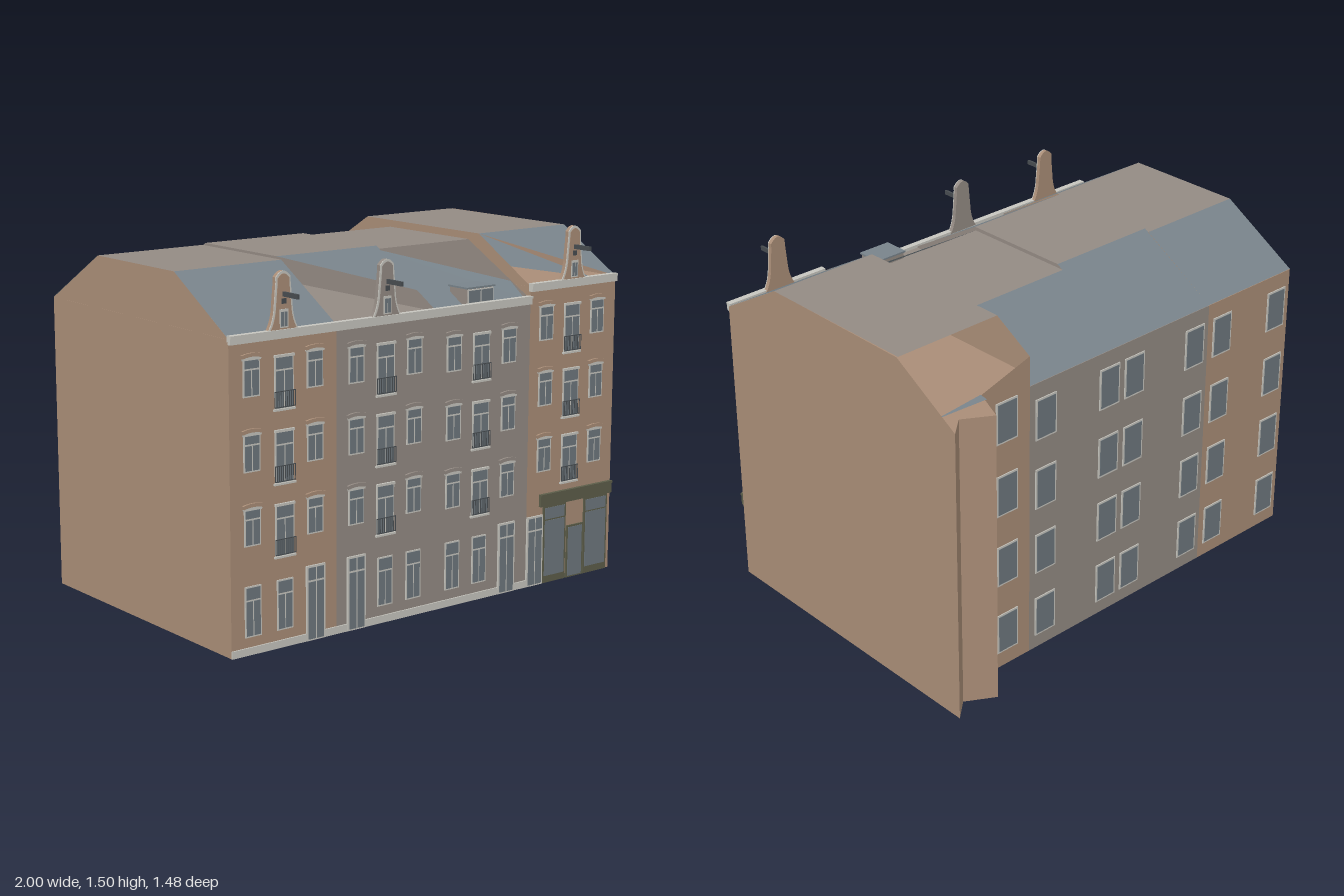
import * as THREE from 'three';

const mat = (name, color, side = THREE.FrontSide) => {
  const m = new THREE.MeshStandardMaterial({ color, side });
  m.name = name;
  return m;
};

export function createModel() {
  const D = THREE.DoubleSide;
  const brick = mat('tan brick', 0xa98d77, D), stone = mat('grey brick', 0x938a83, D);
  const slate = mat('slate', 0x78838a, D), trim = mat('pale trim', 0xc6c5be);
  const glass = mat('glass', 0x6d777d), green = mat('shop green', 0x5c5d49);
  const iron = mat('iron', 0x474c50);
  const root = new THREE.Group();
  const FRONT = 0.64, BACK = -0.6;

  const add = (name, geo, material, parent = root) => {
    const m = new THREE.Mesh(geo, material);
    m.name = name;
    parent.add(m);
    return m;
  };
  const group = (name) => {
    const g = new THREE.Group();
    g.name = name;
    root.add(g);
    return g;
  };
  // box given by its limits
  const block = (name, x0, x1, y0, y1, z0, z1, material, parent) => {
    const m = add(name, new THREE.BoxGeometry(x1 - x0, y1 - y0, z1 - z0), material, parent);
    m.position.set((x0 + x1) / 2, (y0 + y1) / 2, (z0 + z1) / 2);
    return m;
  };
  // vertical prism over a floor plan of [x, z] points
  const prism = (name, plan, h, material, parent) => {
    const s = new THREE.Shape(plan.map(([x, z]) => new THREE.Vector2(x, -z)));
    const geo = new THREE.ExtrudeGeometry(s, { depth: h, bevelEnabled: false }).rotateX(-Math.PI / 2);
    return add(name, geo, material, parent);
  };
  // flat convex polygon
  const face = (name, pts, material, parent) => {
    const pos = [];
    for (let i = 1; i < pts.length - 1; i++) pos.push(...pts[0], ...pts[i], ...pts[i + 1]);
    const geo = new THREE.BufferGeometry();
    geo.setAttribute('position', new THREE.Float32BufferAttribute(pos, 3));
    geo.computeVertexNormals();
    return add(name, geo, material, parent);
  };

  // ---- facade parts ----
  const pane = (g, x0, x1, y0, y1) => block('pane', x0, x1, y0, y1, FRONT, FRONT + 0.006, glass, g);

  const opening = (name, cx, w, y0, y1) => {
    const g = group(name), h = y1 - y0, b = 0.006, yt = y0 + h * 0.72;
    block('frame', cx - w / 2, cx + w / 2, y0, y1, FRONT, FRONT + 0.004, trim, g);
    pane(g, cx - w / 2 + b, cx - 0.003, y0 + b, yt - 0.003);
    pane(g, cx + 0.003, cx + w / 2 - b, y0 + b, yt - 0.003);
    pane(g, cx - w / 2 + b, cx + w / 2 - b, yt + 0.004, y1 - b);
    return g;
  };

  const arch = (g, cx, y, w, rise, t, depth, material) => {
    const s = new THREE.Shape();
    s.moveTo(-w / 2, 0);
    s.quadraticCurveTo(0, rise * 2, w / 2, 0);
    s.lineTo(w / 2 + 0.003, t);
    s.quadraticCurveTo(0, t + rise * 2, -w / 2 - 0.003, t);
    const m = add('arch', new THREE.ExtrudeGeometry(s, { depth, bevelEnabled: false, curveSegments: 6 }), material, g);
    m.position.set(cx, y, FRONT);
  };

  const archedWindow = (cx, y0, y1, wall) => {
    const g = opening('window', cx, 0.076, y0, y1 - 0.006);
    arch(g, cx, y1 - 0.012, 0.082, 0.006, 0.008, 0.007, trim);
    arch(g, cx, y1 - 0.004, 0.086, 0.006, 0.014, 0.009, wall);
  };

  const balconyDoor = (cx, y0, y1) => {
    const g = opening('balconyDoor', cx, 0.088, y0, y1);
    block('lintel', cx - 0.046, cx + 0.046, y1 - 0.01, y1, FRONT, FRONT + 0.009, trim, g);
    block('sill', cx - 0.05, cx + 0.05, y0 - 0.004, y0 + 0.004, FRONT, FRONT + 0.01, trim, g);
    for (const y of [y0 + 0.01, y0 + 0.07])
      block('rail', cx - 0.048, cx + 0.048, y - 0.0015, y + 0.0015, 0.648, 0.651, iron, g);
    for (let i = 0; i <= 10; i++) {
      const x = cx - 0.047 + i * 0.0094;
      block('baluster', x - 0.001, x + 0.001, y0 + 0.01, y0 + 0.07, 0.648, 0.651, iron, g);
    }
  };

  // ---- the four houses ----
  const houses = [
    { x: -1, wall: brick, eave: 1.22, ridge: 1.43, zf: 0.29, zb: -0.25, cols: [-0.9, -0.75, -0.605],
      tops: [1.145, 0.86, 0.575], ground: [-0.9, -0.75], door: -0.605, gable: -0.755 },
    { x: -0.5, wall: stone, eave: 1.22, ridge: 1.44, zf: 0.26, zb: -0.23, cols: [-0.405, -0.26, -0.115],
      tops: [1.135, 0.855, 0.575], ground: [-0.26, -0.115], door: -0.405, gable: -0.26 },
    { x: 0, wall: stone, eave: 1.22, ridge: 1.425, zf: 0.255, zb: -0.26, cols: [0.09, 0.235, 0.385],
      tops: [1.12, 0.84, 0.56], ground: [0.09, 0.235], door: 0.385 },
    { x: 0.5, wall: brick, eave: 1.27, ridge: 1.455, zf: 0.32, zb: -0.42, cols: [0.59, 0.735, 0.88],
      tops: [1.19, 0.915, 0.635], ground: [], door: 0.545, gable: 0.735 },
  ];

  houses.forEach((h, i) => {
    const last = i === 3, x0 = h.x, x1 = h.x + 0.5;
    const plan = last
      ? [[0.5, FRONT], [0.985, FRONT], [1, -0.74], [0.92, -0.67], [0.8, -0.74], [0.75, -0.62], [0.75, BACK], [0.5, BACK]]
      : [[x0, FRONT], [x1, FRONT], [x1, BACK], [x0, BACK]];
    prism('houseBody', plan, h.eave, h.wall);

    // attic end walls
    for (const [x, right] of [[x0 + 0.001, false], [x1 - 0.001, true]]) {
      const end = last && right;
      const px = (z) => (end ? 0.985 + 0.015 * (FRONT - z) / 1.38 : x);
      const prof = [[FRONT, h.eave], [h.zf, h.ridge], [h.zb, h.ridge]];
      if (last && !right) prof.push([BACK, 1.35]);
      prof.push([end ? -0.74 : BACK, h.eave]);
      face('atticEndWall', prof.map(([z, y]) => [px(z), y, z]), h.wall);
    }

    // flat roof top and slopes
    const xr = last ? 0.99 : x1, y = h.ridge, e = h.eave + 0.002;
    face('roofTop', [[x0, y, h.zf], [xr, y, h.zf], [xr, y, h.zb], [x0, y, h.zb]], stone);
    if (!last) face('backSlope', [[xr, e, BACK], [x0, e, BACK], [x0, y, h.zb], [xr, y, h.zb]], slate);
    const A = [x0, y, h.zf], B = [xr, y, h.zf];
    if (i === 0) face('frontSlope', [[x0, e, FRONT], [xr, e, FRONT], B, A], slate);
    if (i === 1) face('frontSlope', [A, [xr, 1.29, 0.52], B], slate);
    if (i === 2) face('frontSlope', [A, [x0, e, 0.6], [xr, e, 0.6], [xr, 1.28, 0.52]], slate);
    if (last) {
      face('frontSlope', [A, [0.985, e, FRONT], B], slate);
      face('slopeSliver', [A, [0.5, 1.34, 0.52], [0.86, 1.275, 0.63]], slate);
      face('backParapet', [[0.5, 1.27, BACK], [0.77, 1.27, BACK], [0.5, 1.35, BACK]], brick);
      face('backRoofSliver', [[0.75, 1.275, -0.635], [0.99, 1.275, -0.62], [0.75, 1.28, BACK]], slate);
    }

    // cornice and plinth
    const xc = last ? 0.985 : x1;
    block('cornice', x0, xc, h.eave - 0.02, h.eave + 0.004, FRONT - 0.01, 0.652, trim);
    block('corniceLip', x0, xc, h.eave + 0.004, h.eave + 0.014, FRONT - 0.01, 0.656, trim);
    block('plinth', x0, last ? 0.59 : x1, 0, 0.03, FRONT, 0.646, trim);

    // windows and doors
    for (const t of h.tops) {
      archedWindow(h.cols[0], t - 0.15, t, h.wall);
      balconyDoor(h.cols[1], t - (i === 2 ? 0.205 : 0.215), t - 0.006);
      archedWindow(h.cols[2], t - 0.15, t, h.wall);
    }
    h.ground.forEach((x) => opening('groundWindow', x, 0.076, 0.07, 0.27));
    const d = group('frontDoor');
    block('frame', h.door - 0.045, h.door + 0.045, 0, 0.3, FRONT, 0.647, trim, d);
    for (const s of [-1, 1]) {
      block('leaf', h.door + s * 0.02 - 0.017, h.door + s * 0.02 + 0.017, 0.006, 0.235, FRONT, 0.649, glass, d);
      block('fanlight', h.door + s * 0.02 - 0.017, h.door + s * 0.02 + 0.017, 0.243, 0.292, FRONT, 0.649, glass, d);
    }

    // back windows
    const backCols = [[-0.92, -0.585], [-0.42, -0.07], [0.07, 0.415], [0.62]][i];
    const backRows = last ? [0.16, 0.48, 0.8, 1.12] : [0.15, 0.45, 0.75, 1.06];
    for (const x of backCols) for (const yc of backRows) {
      const g = group('backWindow');
      block('frame', x - 0.055, x + 0.055, yc - 0.09, yc + 0.09, BACK - 0.004, BACK, trim, g);
      block('pane', x - 0.047, x + 0.047, yc - 0.082, yc + 0.082, BACK - 0.006, BACK, glass, g);
    }

    // neck gable with hoist beam
    if (h.gable !== undefined) {
      const g = group('neckGable');
      g.position.set(h.gable, h.eave + 0.005, 0);
      const outline = (k) => {
        const s = new THREE.Shape();
        s.moveTo(-0.073 + k, 0);
        s.quadraticCurveTo(-0.045 + k, 0.04, -0.042 + k, 0.1);
        s.lineTo(-0.034 + k, 0.185);
        s.lineTo(-0.034 + k, 0.205 - k * 0.5);
        s.quadraticCurveTo(0, 0.25 - k * 2, 0.034 - k, 0.205 - k * 0.5);
        s.lineTo(0.034 - k, 0.185);
        s.lineTo(0.042 - k, 0.1);
        s.quadraticCurveTo(0.045 - k, 0.04, 0.073 - k, 0);
        return s;
      };
      const slab = (k, depth) => new THREE.ExtrudeGeometry(outline(k), { depth, bevelEnabled: false, curveSegments: 6 });
      add('gableBack', slab(0, 0.017), h.wall, g).position.z = 0.627;
      add('gableTrim', slab(0, 0.004), trim, g).position.z = 0.644;
      add('gableFace', slab(0.008, 0.002), h.wall, g).position.z = 0.648;
      block('hatchFrame', -0.019, 0.019, 0.015, 0.085, 0.645, 0.652, trim, g);
      for (const s of [-1, 1])
        block('hatchPane', s * 0.008 - 0.006, s * 0.008 + 0.006, 0.02, 0.075, 0.645, 0.654, glass, g);
      block('atticLight', -0.01, 0.01, 0.105, 0.125, 0.645, 0.653, iron, g);
      block('hoistBeam', -0.005, 0.005, 0.132, 0.15, 0.64, 0.74, iron, g);
    }
  });

  // dormer
  const dormer = group('dormer');
  block('dormerBody', 0.17, 0.31, 1.222, 1.29, 0.52, 0.625, stone, dormer);
  block('dormerRoof', 0.165, 0.315, 1.29, 1.297, 0.515, 0.63, slate, dormer);
  block('dormerFrame', 0.172, 0.308, 1.23, 1.288, 0.62, 0.628, trim, dormer);
  for (const x of [0.207, 0.273])
    block('dormerPane', x - 0.03, x + 0.03, 1.235, 1.283, 0.62, 0.63, glass, dormer);

  // shop front
  const shop = group('shopFront');
  block('fascia', 0.57, 0.985, 0.335, 0.385, FRONT, 0.652, green, shop);
  block('fasciaLip', 0.57, 0.985, 0.378, 0.388, FRONT, 0.656, green, shop);
  for (const [x0, x1] of [[0.592, 0.722], [0.828, 0.965]]) {
    block('shopFrame', x0, x1, 0, 0.335, FRONT, 0.646, green, shop);
    block('shopPane', x0 + 0.009, x1 - 0.009, 0.03, 0.27, FRONT, 0.648, glass, shop);
    block('shopTopPane', x0 + 0.009, x1 - 0.009, 0.276, 0.325, FRONT, 0.648, glass, shop);
  }
  block('shopDoorFrame', 0.73, 0.824, 0, 0.228, FRONT, 0.646, green, shop);
  block('shopDoorPane', 0.737, 0.817, 0.006, 0.22, FRONT, 0.648, glass, shop);
  return root;
}
